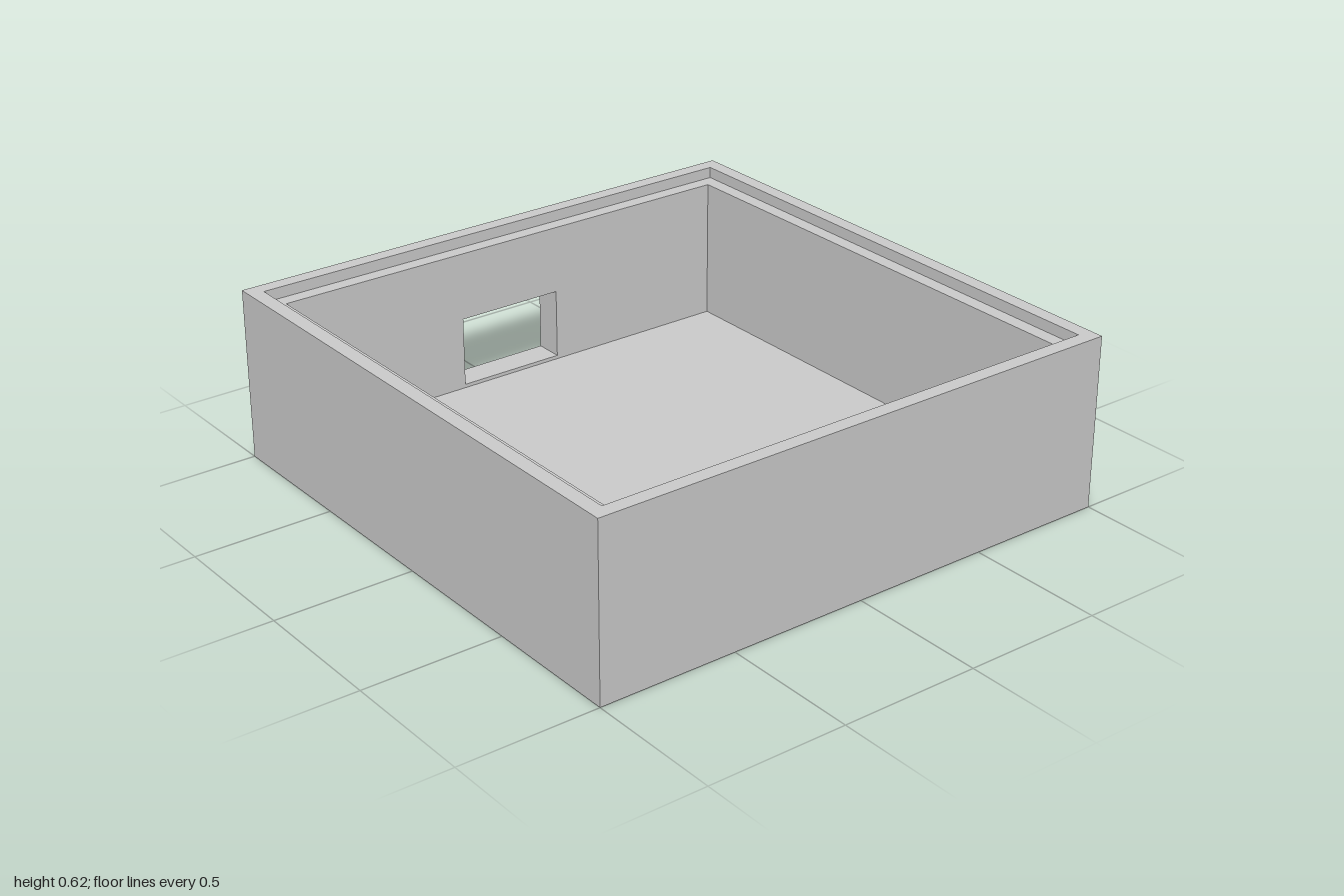
import * as THREE from 'three';

const OUT = 1, STEP = 0.947, IN = 0.895;          // half widths: outside, lid rebate, cavity
const TOP = 0.62, LEDGE = 0.58, FLOOR = 0.067;    // heights
const HOLE = { half: 0.2, y0: 0.08, y1: 0.333 };  // cable opening in the -x wall

const rect = (C, x0, y0, x1, y1) => new C([[x0, y0], [x1, y0], [x1, y1], [x0, y1]].map(p => new THREE.Vector2(...p)));
const square = (C, h) => rect(C, -h, -h, h, h);

export function createModel() {
  const group = new THREE.Group();
  const grey = new THREE.MeshStandardMaterial({ color: 0xcccccc });
  grey.name = 'plain grey';

  const add = (name, geometry) => {
    const mesh = new THREE.Mesh(geometry, grey);
    mesh.name = name;
    group.add(mesh);
  };

  // Upright panel facing +z at depth z, then turned about the y axis
  const upright = (name, half, y0, y1, z, turn, open) => {
    const shape = rect(THREE.Shape, -half, y0, half, y1);
    if (open) shape.holes.push(rect(THREE.Path, -HOLE.half, HOLE.y0, HOLE.half, HOLE.y1));
    add(name, new THREE.ShapeGeometry(shape).translate(0, 0, z).rotateY(turn));
  };

  // Level square facing up, with an optional square cut-out
  const level = (name, half, y, cut) => {
    const shape = square(THREE.Shape, half);
    if (cut) shape.holes.push(square(THREE.Path, cut));
    add(name, new THREE.ShapeGeometry(shape).rotateX(-Math.PI / 2).translate(0, y, 0));
  };

  // Four walls: outer face, cavity face and lid rebate face
  for (let k = 0; k < 4; k++) {
    const turn = k * Math.PI / 2;
    upright('outerWall', OUT, 0, TOP, OUT, turn, k === 3);
    upright('innerWall', IN, FLOOR, LEDGE, -IN, turn, k === 1);
    upright('lidRebate', STEP, LEDGE, TOP, -STEP, turn);
  }

  // Level surfaces
  level('rim', OUT, TOP, STEP);
  level('lidLedge', STEP, LEDGE, IN);
  level('floor', IN, FLOOR);
  add('underside', new THREE.PlaneGeometry(2 * OUT, 2 * OUT).rotateX(Math.PI / 2));

  // Lining of the cable opening through the wall
  const depth = OUT - IN, mid = -(OUT + IN) / 2, height = HOLE.y1 - HOLE.y0;
  for (const s of [-1, 1]) {
    add('openingJamb', new THREE.PlaneGeometry(depth, height).rotateY(s > 0 ? Math.PI : 0)
      .translate(mid, (HOLE.y0 + HOLE.y1) / 2, s * HOLE.half));
    add(s > 0 ? 'openingHead' : 'openingSill', new THREE.PlaneGeometry(depth, 2 * HOLE.half)
      .rotateX(s * Math.PI / 2).translate(mid, s > 0 ? HOLE.y1 : HOLE.y0, 0));
  }
  return group;
}
